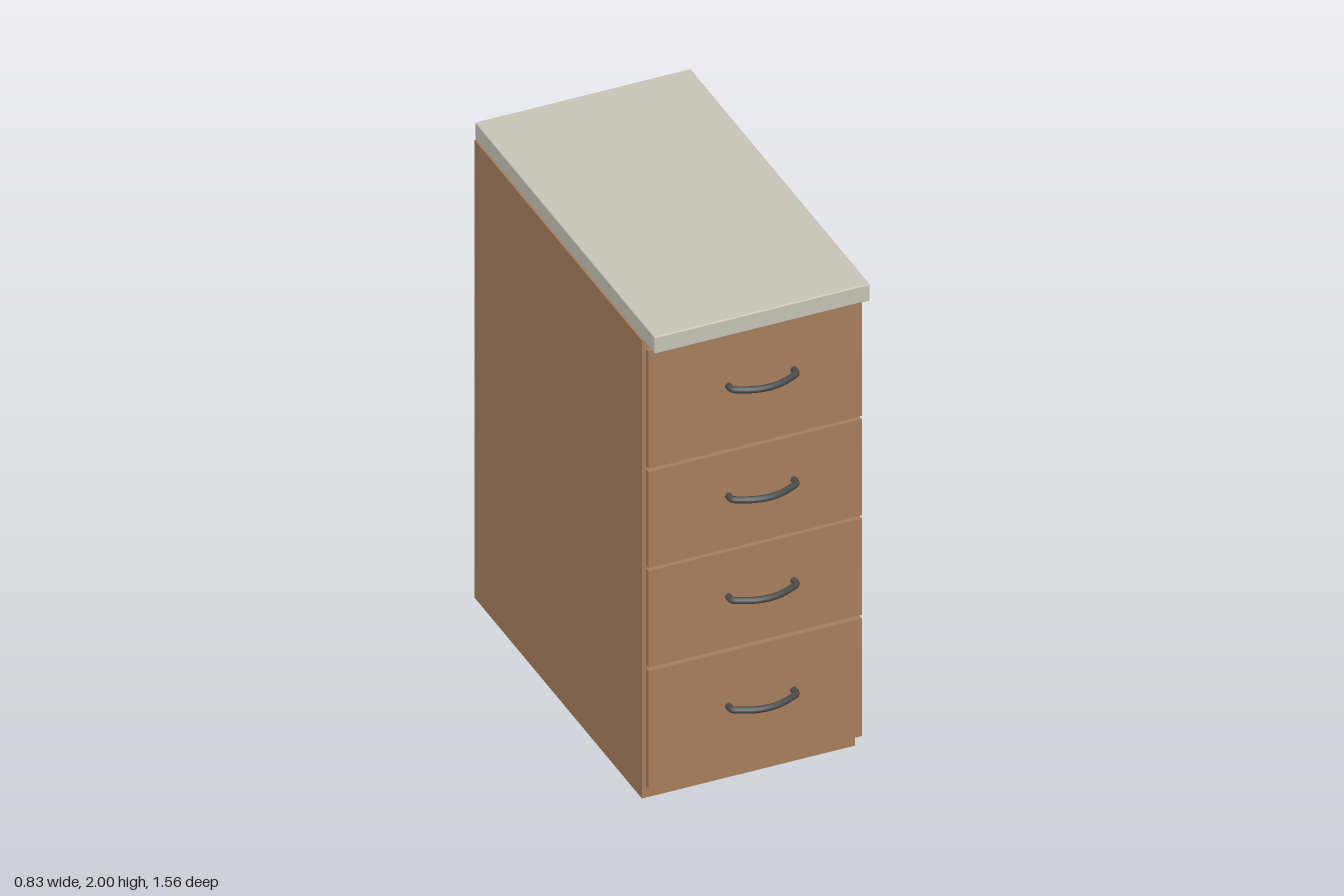
import * as THREE from 'three';
import { RoundedBoxGeometry } from 'three/addons/geometries/RoundedBoxGeometry.js';

export function createModel() {
  const model = new THREE.Group();
  model.name = 'drawerCabinet';

  const wood = new THREE.MeshStandardMaterial({ color: 0xa87e5e });
  wood.name = 'wood';
  const stone = new THREE.MeshStandardMaterial({ color: 0xc8c4b8 });
  stone.name = 'stone';
  const metal = new THREE.MeshStandardMaterial({ color: 0x4a4c4c });
  metal.name = 'darkMetal';

  const add = (name, geometry, material, x, y, z) => {
    const mesh = new THREE.Mesh(geometry, material);
    mesh.name = name;
    mesh.position.set(x, y, z);
    model.add(mesh);
  };

  // Carcass, and the worktop floating just above it
  const width = 0.824, centreX = -0.004;
  add('carcass', new THREE.BoxGeometry(width, 1.922, 1.422), wood, centreX, 0.961, -0.069);
  add('worktop', new RoundedBoxGeometry(0.832, 0.071, 1.524, 2, 0.005), stone, 0, 1.9645, -0.012);

  // Bowed handle: short posts at both ends, joined by a shallow arc
  const points = [];
  for (let i = -4; i <= 4; i++) {
    const x = (i / 4) * 0.124;
    points.push(new THREE.Vector3(x, 0, 0.07 - 0.042 * (i / 4) ** 2));
  }
  points.unshift(new THREE.Vector3(-0.126, 0, 0));
  points.push(new THREE.Vector3(0.126, 0, 0));
  const handle = new THREE.TubeGeometry(new THREE.CatmullRomCurve3(points), 48, 0.0125, 12);

  // Drawer fronts with handles: bottom, top, handle height
  const drawers = [
    [0.073, 0.568, 0.34],
    [0.582, 0.988, 0.80],
    [1.0, 1.404, 1.223],
    [1.418, 1.91, 1.685],
  ];
  drawers.forEach(([bottom, top, handleY], i) => {
    add(`drawerFront${i + 1}`, new THREE.BoxGeometry(width, top - bottom, 0.022), wood,
      centreX, (bottom + top) / 2, 0.687);
    add(`handle${i + 1}`, handle, metal, 0.018, handleY, 0.698);
  });

  return model;
}
